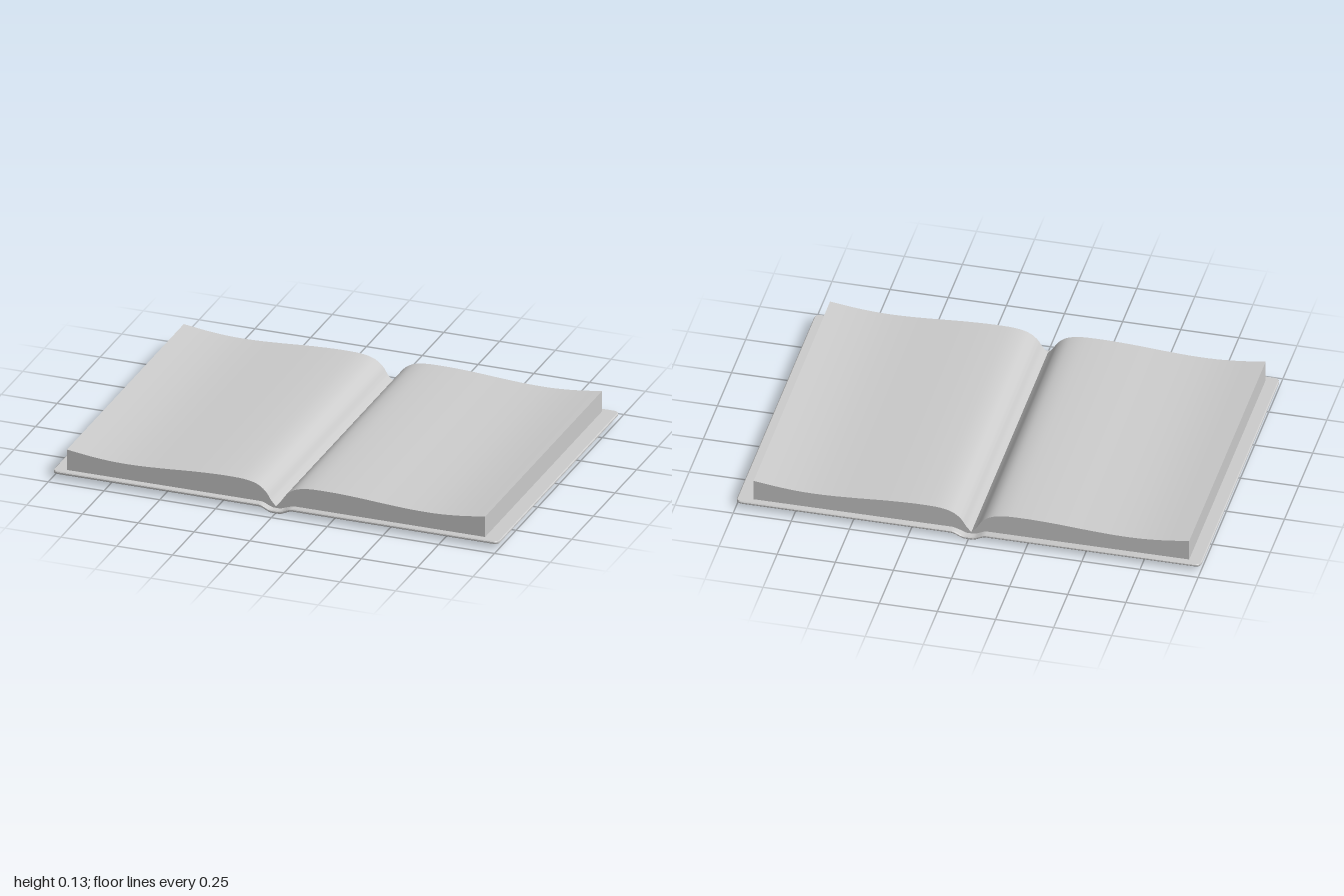
import * as THREE from 'three';
import { toCreasedNormals } from 'three/addons/utils/BufferGeometryUtils.js';

const material = new THREE.MeshStandardMaterial({ color: 0xcccccc });
const COVER_DEPTH = 0.707, CORNER = 0.025, COVER_Y = 0.027;
const PAGE_DEPTH = 1.355, PAGE_CENTRE = -0.007;

// Height of the cover's middle layer: flat boards dipping into the spine
function coverHeight(x) {
  return COVER_Y - 0.0203 * (1 - THREE.MathUtils.smoothstep(Math.abs(x), 0.015, 0.075));
}

// Bevelled board section at x, narrowing around the rounded corners
function coverSection(x) {
  const a = Math.abs(x);
  const u = Math.max(0, a - (1 - CORNER)) / CORNER;
  const h = COVER_DEPTH - CORNER * (1 - Math.sqrt(Math.max(0, 1 - u * u)));
  const t = a > 0.9999 ? 0.003 : 0.0065;
  const b = t * 0.6;
  const y = coverHeight(x);
  return [
    [h, -t + b], [h, t - b], [h - b, t], [-h + b, t],
    [-h, t - b], [-h, -t + b], [-h + b, -t], [h - b, -t],
  ].map(([z, dy]) => [x, y + dy, z]);
}

// Loft the cover along x
function coverGeometry() {
  const half = [0.012, 0.024, 0.034, 0.044, 0.054, 0.064, 0.075, 0.975, 0.983, 0.99, 0.996, 1];
  const stations = [...half.map((x) => -x).reverse(), 0, ...half];
  const n = 8, last = (stations.length - 1) * n;
  const points = stations.flatMap(coverSection);
  const index = [];
  for (let i = 0; i < stations.length - 1; i++) {
    for (let j = 0; j < n; j++) {
      const a = i * n + j, b = i * n + (j + 1) % n;
      index.push(a, a + n, b, a + n, b + n, b);
    }
  }
  // End caps
  for (let j = 1; j < n - 1; j++) {
    index.push(0, j, j + 1, last, last + j + 1, last + j);
  }
  const geometry = new THREE.BufferGeometry();
  geometry.setAttribute('position', new THREE.Float32BufferAttribute(points.flat(), 3));
  geometry.setIndex(index);
  return toCreasedNormals(geometry, 0.6);
}

// Page block: wavy top profile from gutter to fore edge, extruded in depth
function pagesGeometry(side) {
  const top = [
    [0, 0.02], [0.022, 0.045], [0.045, 0.08], [0.08, 0.107], [0.13, 0.121],
    [0.22, 0.125], [0.35, 0.121], [0.5, 0.111], [0.62, 0.105], [0.72, 0.105],
    [0.82, 0.112], [0.937, 0.127],
  ].map(([x, y]) => new THREE.Vector3(x, y, 0));
  const curve = new THREE.CatmullRomCurve3(top);
  const outline = curve.getPoints(55).map((p) => new THREE.Vector2(side * p.x, p.y));
  for (const [x, y] of [[0.937, 0.032], [0.075, 0.032], [0.045, 0.023], [0.02, 0.013], [0, 0.012]]) {
    outline.push(new THREE.Vector2(side * x, y));
  }
  const geometry = new THREE.ExtrudeGeometry(new THREE.Shape(outline), {
    depth: PAGE_DEPTH, bevelEnabled: false,
  });
  geometry.translate(PAGE_CENTRE, 0, -PAGE_DEPTH / 2);
  return toCreasedNormals(geometry, 0.6);
}

export function createModel() {
  const book = new THREE.Group();
  book.name = 'openBook';

  const add = (name, geometry) => {
    const mesh = new THREE.Mesh(geometry, material);
    mesh.name = name;
    book.add(mesh);
  };

  add('cover', coverGeometry());
  add('leftPages', pagesGeometry(1));
  add('rightPages', pagesGeometry(-1));
  return book;
}
